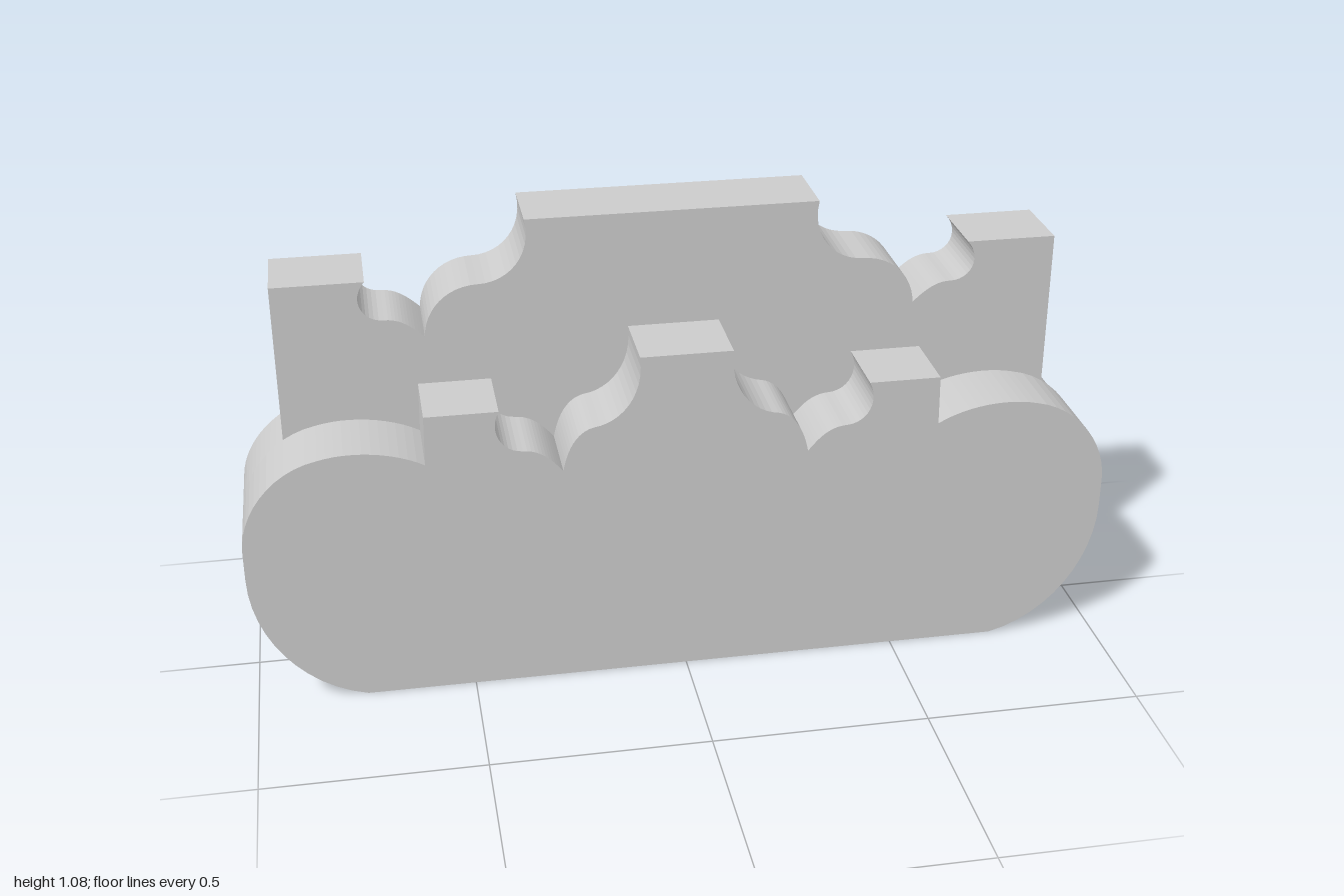
import * as THREE from 'three';

const DEPTH = 0.174;

// Lower body edge shared by both layers: flat base, then the rounded side.
const roundedSide = [
  [0.75, 0],
  [0.9, 0.035, 1, 0.18, 1, 0.33],
  [1, 0.4],
];

// Half outlines: 2 numbers = line to, 6 numbers = bezier to.
const backHalf = [
  ...roundedSide,
  [1, 0.465, 0.96, 0.53, 0.895, 0.572],
  [0.895, 0.955],
  [0.688, 0.955],
  [0.725, 0.915, 0.7, 0.86, 0.65, 0.861],
  [0.615, 0.862, 0.59, 0.84, 0.563, 0.815],
  [0.56, 0.88, 0.51, 0.932, 0.44, 0.932],
  [0.37, 0.932, 0.315, 0.995, 0.333, 1.077],
];

const frontHalf = [
  ...roundedSide,
  [1, 0.49, 0.93, 0.595, 0.82, 0.615],
  [0.75, 0.632, 0.655, 0.622, 0.587, 0.583],
  [0.585, 0.7],
  [0.42, 0.7],
  [0.445, 0.655, 0.42, 0.6, 0.37, 0.598],
  [0.33, 0.597, 0.305, 0.57, 0.281, 0.54],
  [0.272, 0.59, 0.25, 0.635, 0.21, 0.643],
  [0.15, 0.65, 0.095, 0.71, 0.105, 0.805],
];

// Trace the right half, mirror it, and extrude the closed outline.
function layer(name, half, z) {
  const path = new THREE.Path();
  path.moveTo(0, 0);
  for (const s of half) {
    if (s.length === 2) path.lineTo(...s);
    else path.bezierCurveTo(...s);
  }
  const right = path.getPoints(12).slice(1);
  const left = right.map((p) => new THREE.Vector2(-p.x, p.y)).reverse();
  const geometry = new THREE.ExtrudeGeometry(new THREE.Shape([...right, ...left]), {
    depth: DEPTH,
    bevelEnabled: false,
  });
  geometry.translate(0, 0, z);
  const mesh = new THREE.Mesh(geometry, new THREE.MeshStandardMaterial({ color: 0xcccccc }));
  mesh.name = name;
  return mesh;
}

export function createModel() {
  const group = new THREE.Group();
  group.name = 'layeredSilhouette';
  group.add(layer('frontLayer', frontHalf, 0));
  group.add(layer('backLayer', backHalf, -DEPTH));
  return group;
}
